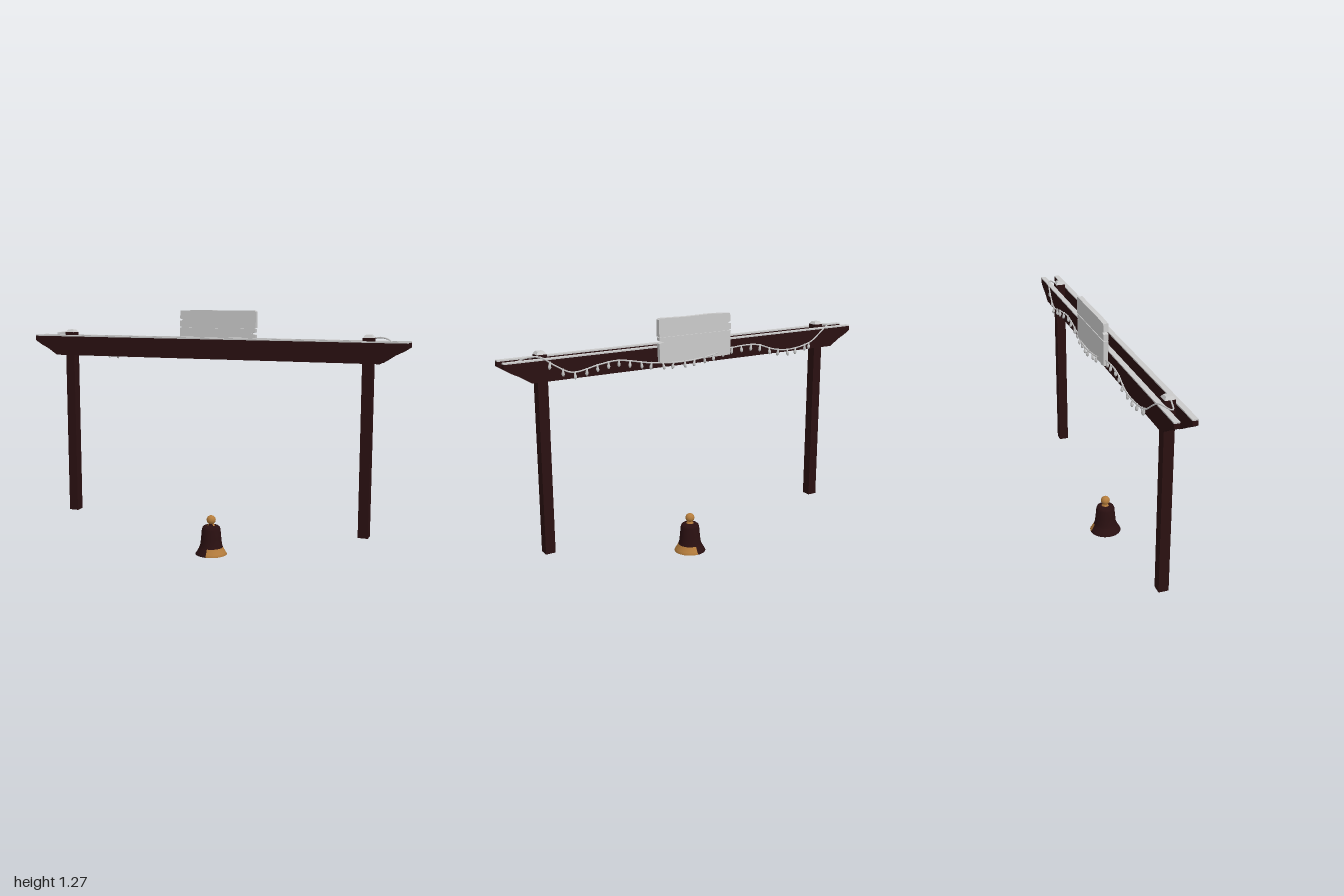
import * as THREE from 'three';

const mat = (name, color) => {
  const m = new THREE.MeshStandardMaterial({ color });
  m.name = name;
  return m;
};

export function createModel() {
  const wood = mat('dark wood', 0x2a1011);
  const grey = mat('pale grey', 0xcacaca);
  const gold = mat('gold', 0xb47c3c);
  const root = new THREE.Group();
  root.name = 'bellGate';

  const add = (name, geometry, material, x = 0, y = 0, z = 0, parent = root) => {
    const mesh = new THREE.Mesh(geometry, material);
    mesh.name = name;
    mesh.position.set(x, y, z);
    parent.add(mesh);
    return mesh;
  };
  const shapeOf = (pts) => new THREE.Shape(pts.map(([x, y]) => new THREE.Vector2(x, y)));
  const slab = (pts, depth) => {
    const g = new THREE.ExtrudeGeometry(shapeOf(pts), { depth, bevelEnabled: false });
    return g.translate(0, 0, -depth / 2);
  };

  // Posts with pale, slightly tapered caps
  for (const x of [-0.806, 0.806]) {
    add('post', new THREE.BoxGeometry(0.05, 0.975, 0.05), wood, x, 0.6605, 0);
    const cap = new THREE.CylinderGeometry(0.022, 0.035, 0.014, 4).rotateY(Math.PI / 4).toNonIndexed();
    cap.computeVertexNormals();
    add('postCap', cap, grey, x, 1.155, 0);
  }

  // Twin beams with coved ends and a pale top
  const end = [[0.87, 1.028], [0.89, 1.04], [0.925, 1.063], [0.965, 1.082], [1, 1.104], [1, 1.127]];
  const outline = [...end, ...end.map(([x, y]) => [-x, y]).reverse()];
  for (const z of [-0.04, 0.04]) {
    add('beam', slab(outline, 0.027), wood, 0, 0, z);
    add('beamTop', new THREE.BoxGeometry(2, 0.006, 0.027), grey, 0, 1.13, z);
  }

  // Two-plank sign with chipped edges
  const sign = new THREE.Group();
  sign.name = 'sign';
  root.add(sign);
  add('upperPlank', slab([
    [-0.195, 1.184], [0.22, 1.182], [0.221, 1.264], [0.21, 1.271], [0.06, 1.268], [-0.08, 1.271],
    [-0.19, 1.266], [-0.194, 1.226], [-0.175, 1.219], [-0.195, 1.214]], 0.025), grey, 0, 0, -0.0635, sign);
  add('lowerPlank', slab([
    [-0.193, 1.055], [0.0, 1.051], [0.216, 1.055], [0.219, 1.148], [0.195, 1.155], [0.219, 1.162],
    [0.219, 1.178], [-0.195, 1.179]], 0.025), grey, 0, 0, -0.0635, sign);
  add('signSeam', new THREE.BoxGeometry(0.4, 0.008, 0.012), grey, 0.012, 1.18, -0.0635, sign);

  // String of lights draped along the back
  const lights = new THREE.Group();
  lights.name = 'lightString';
  root.add(lights);
  const path = new THREE.CatmullRomCurve3([
    [-0.83, 1.145, 0.005], [-0.905, 1.14, -0.02], [-0.84, 1.145, -0.055], [-0.79, 1.115, -0.064],
    [-0.72, 1.068, -0.066], [-0.59, 1.042, -0.066], [-0.48, 1.052, -0.07], [-0.36, 1.088, -0.066],
    [-0.2, 1.085, -0.065], [-0.05, 1.06, -0.08], [0.1, 1.05, -0.08], [0.25, 1.058, -0.066],
    [0.44, 1.09, -0.064], [0.54, 1.083, -0.072], [0.68, 1.062, -0.073], [0.76, 1.1, -0.066],
    [0.83, 1.145, -0.056], [0.89, 1.142, -0.03], [0.92, 1.12, -0.002], [0.928, 1.092, 0.02],
  ].map((p) => new THREE.Vector3(...p)));
  add('wire', new THREE.TubeGeometry(path, 160, 0.0038, 6), grey, 0, 0, 0, lights);

  const bulbGeo = new THREE.LatheGeometry([
    [0, -0.034], [0.005, -0.031], [0.008, -0.023], [0.007, -0.014], [0.005, -0.01], [0.005, 0.004], [0, 0.004],
  ].map(([r, y]) => new THREE.Vector2(r, y)), 8);
  const samples = path.getSpacedPoints(400);
  for (let x = -0.74; x < 0.8; x += 0.0585) {
    const p = samples.find((s, i) => i > 60 && s.x >= x);
    const bulb = add('bulb', bulbGeo, grey, p.x, p.y, p.z, lights);
    bulb.rotation.set(Math.sin(x * 40) * 0.15, 0, Math.sin(x * 57) * 0.15);
  }

  // Bell resting on the ground below the beams
  const bell = new THREE.Group();
  bell.name = 'bell';
  root.add(bell);
  const lathe = (pts, start = 0, length = Math.PI * 2, segments = 32) => new THREE.LatheGeometry(
    pts.map(([r, y]) => new THREE.Vector2(r, y)), segments, start, length);
  const rim = [[0.078, 0], [0.083, 0.002], [0.076, 0.014], [0.068, 0.027], [0.062, 0.04]];
  const body = [[0.062, 0.04], [0.057, 0.055], [0.053, 0.09], [0.049, 0.135], [0.045, 0.147], [0.036, 0.154], [0, 0.157]];
  add('bellBody', lathe(body), wood, 0, 0, 0, bell);
  add('bellInside', lathe([[0, 0.148], [0.04, 0.142], [0.048, 0.09], [0.056, 0.04], [0.078, 0]]), wood, 0, 0, 0, bell)
    .geometry.dispose();
  bell.children[1].geometry = lathe([[0, 0.148], [0.04, 0.142], [0.048, 0.09], [0.056, 0.04], [0.078, 0]]);
  add('goldRim', lathe(rim, 0, Math.PI, 16), gold, 0, 0, 0, bell);
  add('darkRim', lathe(rim, Math.PI, Math.PI, 16), wood, 0, 0, 0, bell);
  // Neck is dark toward the front and gold around the rest
  const neck = [[0.021, 0.154], [0.015, 0.162], [0.015, 0.172]];
  add('darkNeck', lathe(neck, -0.6, 1.5, 8), wood, 0, 0, 0, bell);
  add('goldNeck', lathe(neck, 0.9, Math.PI * 2 - 1.5, 20), gold, 0, 0, 0, bell);
  add('bellKnob', new THREE.SphereGeometry(0.024, 20, 14), gold, 0, 0.185, 0, bell);

  return root;
}
